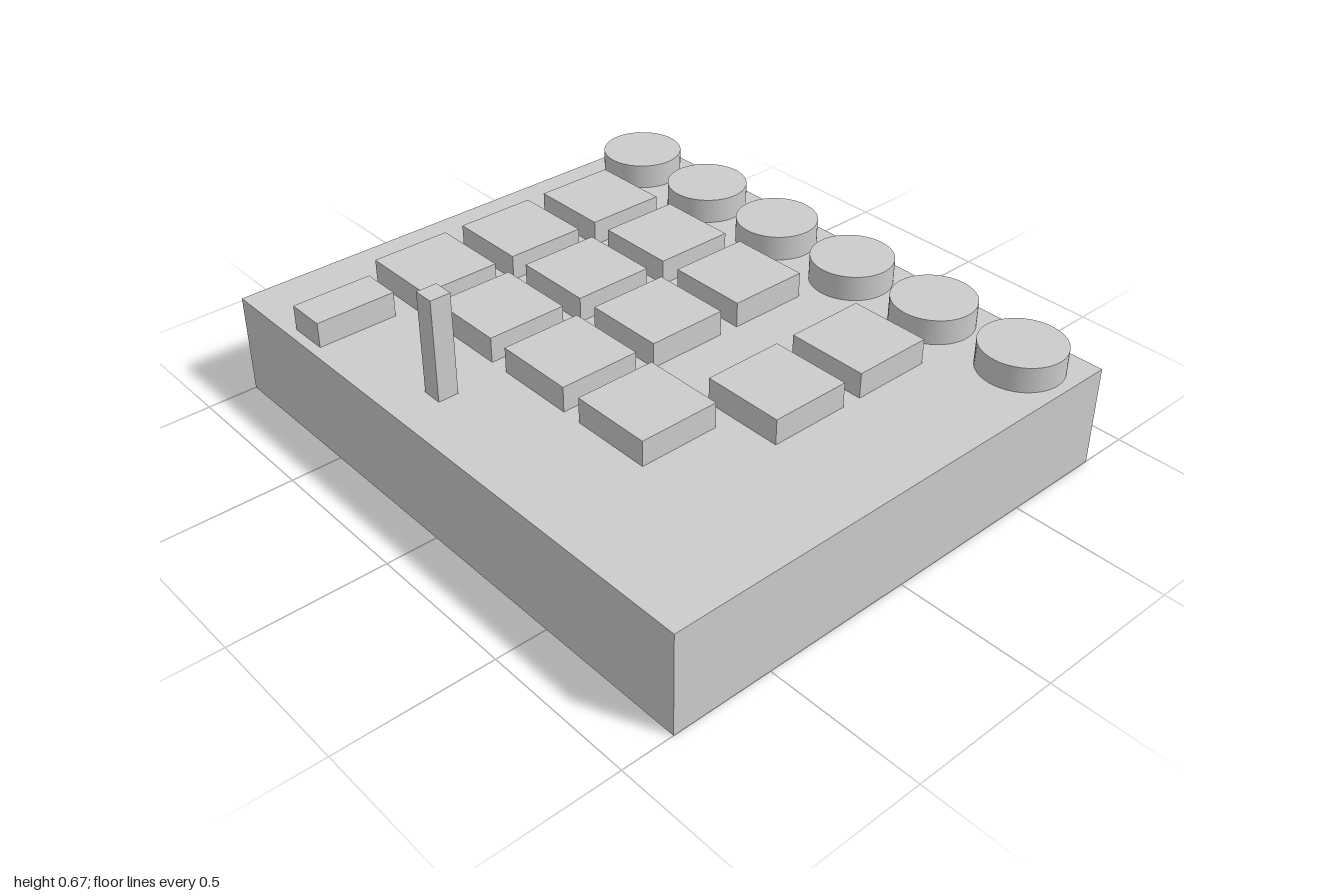
import * as THREE from 'three';

const BASE_TOP = 1 / 3;
const KEY_HEIGHT = 1 / 12;

export function createModel() {
  const model = new THREE.Group();
  model.name = 'controlPanel';
  const material = new THREE.MeshStandardMaterial({ color: 0xcccccc });

  // Adds a part whose underside rests at height y
  function add(name, geometry, height, x, y, z) {
    const mesh = new THREE.Mesh(geometry, material);
    mesh.name = name;
    mesh.position.set(x, y + height / 2, z);
    model.add(mesh);
  }

  // Base slab
  add('base', new THREE.BoxGeometry(2, BASE_TOP, 5 / 3), BASE_TOP, 0, 0, 0);

  // Row of round knobs along the back
  const knob = new THREE.CylinderGeometry(0.1333, 0.1333, KEY_HEIGHT, 64);
  for (let i = 0; i < 6; i++) {
    add('knob', knob, KEY_HEIGHT, (i - 2.5) / 3, BASE_TOP, -2 / 3);
  }

  // Three rows of square buttons; the last one in each row is offset
  const button = new THREE.BoxGeometry(0.2667, KEY_HEIGHT, 0.2667);
  const rows = [
    { z: -1 / 3, lastX: 0.5 },
    { z: 0, lastX: 0.5 },
    { z: 1 / 3, lastX: 1 / 3 },
  ];
  for (const { z, lastX } of rows) {
    for (const x of [-2 / 3, -1 / 3, 0, lastX]) {
      add('button', button, KEY_HEIGHT, x, BASE_TOP, z);
    }
  }

  // Narrow switch and upright lever at the front
  add('switch', new THREE.BoxGeometry(0.1333, KEY_HEIGHT, 0.2667), KEY_HEIGHT, -2 / 3, BASE_TOP, 2 / 3);
  add('lever', new THREE.BoxGeometry(0.0667, 1 / 3, 0.0667), 1 / 3, -0.17, BASE_TOP, 2 / 3);

  return model;
}
